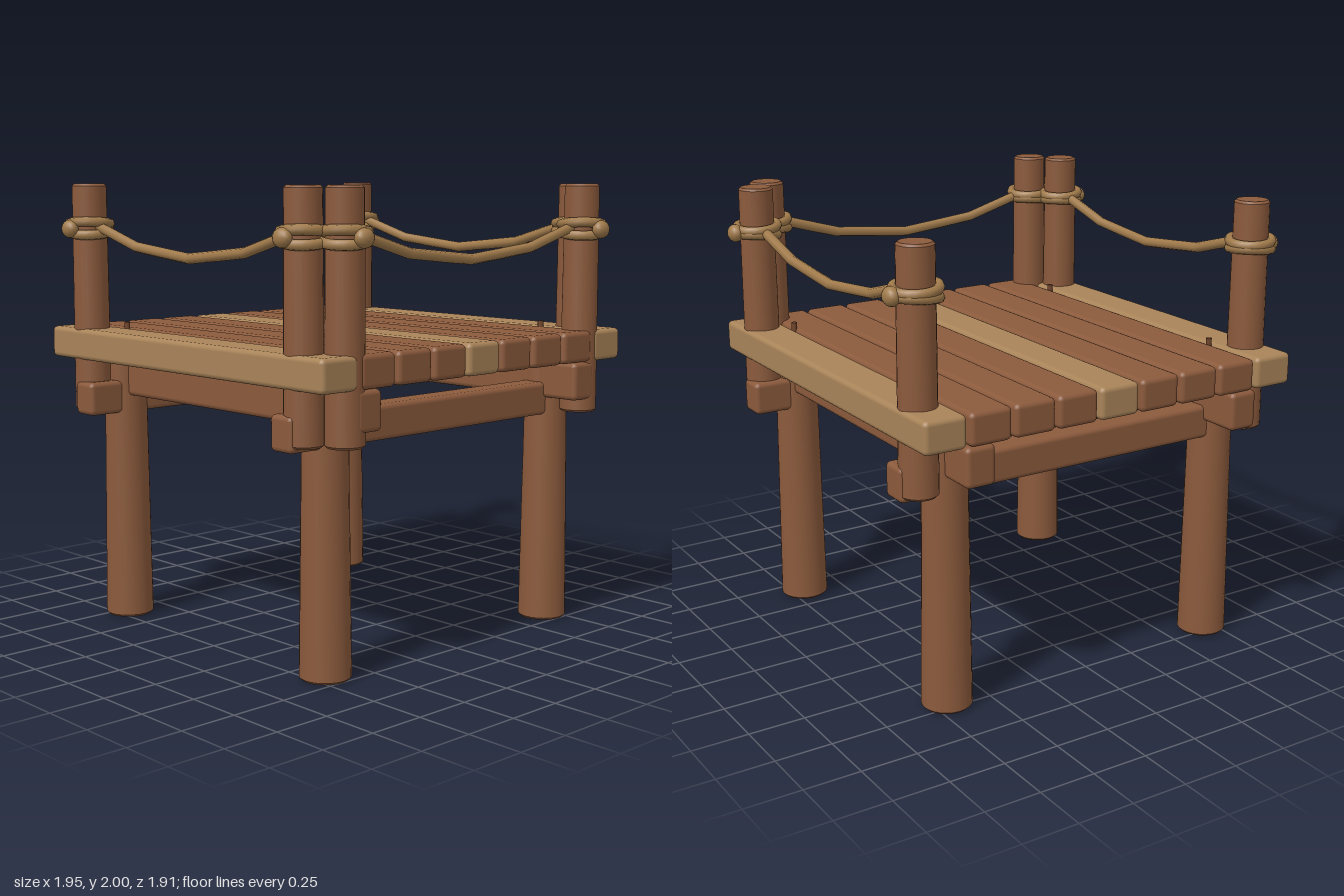
import * as THREE from 'three';
import { toCreasedNormals } from 'three/addons/utils/BufferGeometryUtils.js';
import { RoundedBoxGeometry } from 'three/addons/geometries/RoundedBoxGeometry.js';

const mat = (name, color) => {
  const m = new THREE.MeshStandardMaterial({ color });
  m.name = name;
  return m;
};

export function createModel() {
  const group = new THREE.Group();
  const wood = mat('brown wood', 0x8b5a3c);
  const paleWood = mat('pale wood', 0xa98459);
  const ropeMat = mat('rope', 0xa07a4b);
  const nailMat = mat('dark nail', 0x70452c);

  const add = (name, geometry, material, x = 0, y = 0, z = 0) => {
    const mesh = new THREE.Mesh(geometry, material);
    mesh.name = name;
    mesh.position.set(x, y, z);
    group.add(mesh);
    return mesh;
  };
  const box = (w, h, d) => new RoundedBoxGeometry(w, h, d, 2, 0.022);

  // Tapered round timber with a small bevel at both ends
  const timber = (y0, y1, r0, r1, b = 0.01) => toCreasedNormals(new THREE.LatheGeometry([
    [0, y0], [r0 - b, y0], [r0, y0 + b], [r1, y1 - b], [r1 - b, y1], [0, y1],
  ].map(([r, y]) => new THREE.Vector2(r, y)), 24), 0.6);

  // Deck planks, running front to back
  for (let i = 0; i < 9; i++) {
    add('plank', box(0.192, 0.14, 1.85), i % 4 === 0 ? paleWood : wood, (i - 4) * 0.2065, 1.28, -0.032);
  }

  // Beams: lower pair crosswise, upper pair lengthwise
  for (const z of [0.65, -0.705]) add('crossBeam', box(1.85, 0.15, 0.13), wood, 0, 1.035, z);
  for (const s of [-1, 1]) add('sideBeam', box(0.135, 0.17, 1.85), wood, s * 0.667, 1.125, -0.032);

  // Legs
  for (const x of [-0.69, 0.687]) {
    for (const z of [0.655, -0.705]) add('leg', timber(0, 1.2, 0.109, 0.094), wood, x, 0, z);
  }

  // Railing posts with two rope turns and a knot facing outwards
  const post = (x, z, dx, dz) => {
    add('post', timber(0.98, 2, 0.082, 0.077), wood, x, 0, z);
    [[1.785, 0.1], [1.822, -0.08]].forEach(([y, tilt]) => {
      const ring = add('ropeTurn', new THREE.TorusGeometry(0.09, 0.022, 8, 24), ropeMat, x, y, z);
      ring.rotation.set(Math.PI / 2 + tilt, tilt, 0);
    });
    const knot = add('knot', new THREE.SphereGeometry(0.042, 14, 10), ropeMat, x + dx * 0.108, 1.8, z + dz * 0.108);
    knot.scale.set(dx ? 0.8 : 1.1, 0.95, dz ? 0.8 : 1.1);
  };
  for (const s of [-1, 1]) {
    post(s * 0.835, 0.69, s, 0);
    post(s * 0.835, -0.755, s, 0);
    post(s * 0.727, 0.81, 0, 1);
  }

  // Sagging ropes between the posts
  const rope = (a, b) => {
    const points = [];
    for (let i = 0; i <= 4; i++) {
      const t = i / 4;
      const p = a.clone().lerp(b, t);
      p.y = 1.69 + 0.14 * (2 * t - 1) ** 2;
      points.push(p);
    }
    const path = new THREE.CurvePath();
    for (let i = 0; i < 4; i++) path.add(new THREE.LineCurve3(points[i], points[i + 1]));
    add('rope', new THREE.TubeGeometry(path, 8, 0.023, 8), ropeMat);
  };
  const v = (x, z) => new THREE.Vector3(x, 0, z);
  for (const s of [-1, 1]) rope(v(s * 0.835, 0.69), v(s * 0.835, -0.755));
  rope(v(-0.727, 0.81), v(0.727, 0.81));

  // Nails in the deck
  for (const x of [-0.715, 0.715]) {
    for (const z of [0.595, -0.65]) {
      add('nail', new THREE.CylinderGeometry(0.013, 0.013, 0.06, 10), nailMat, x, 1.345, z);
    }
  }
  return group;
}
